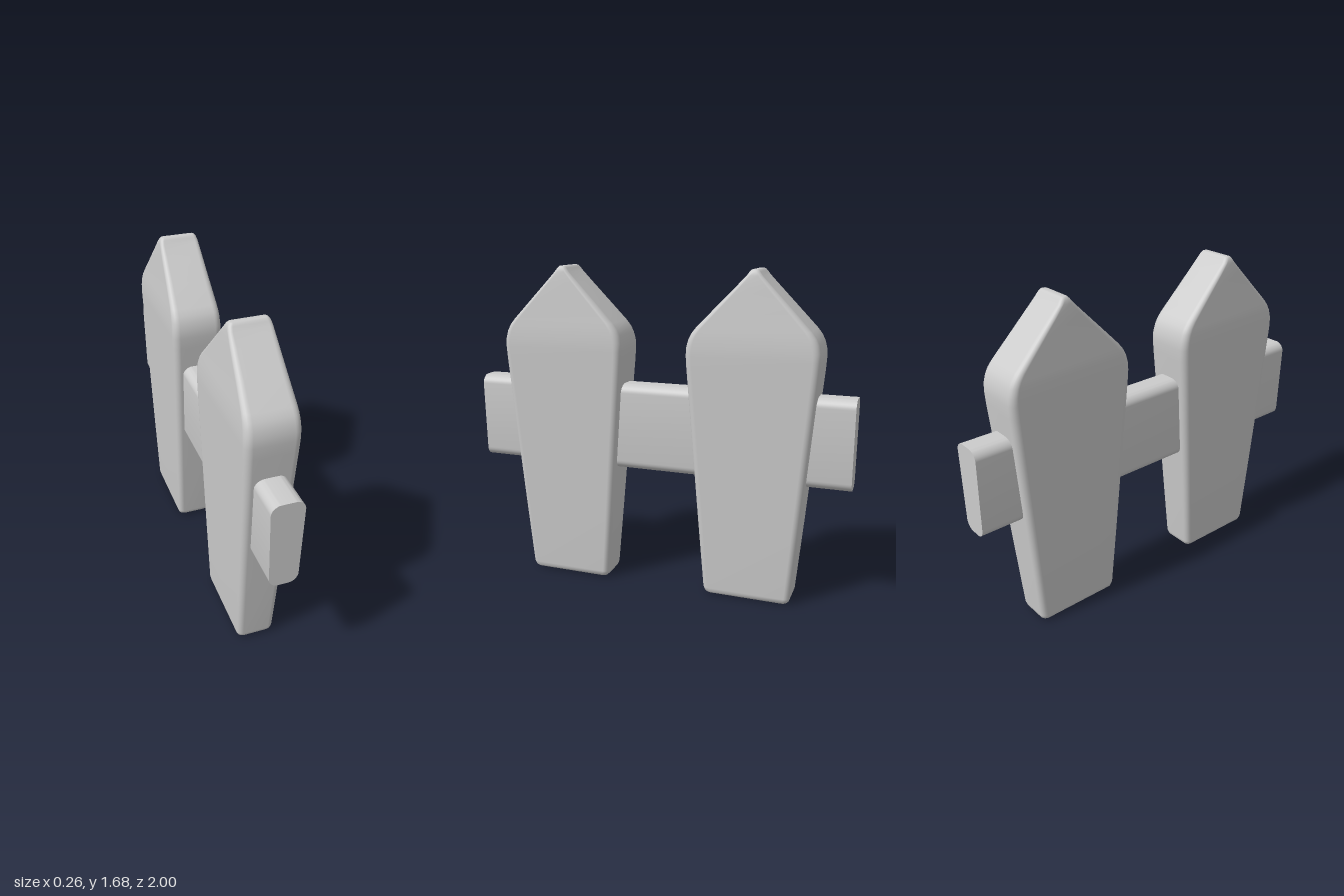
import * as THREE from 'three';
import { toCreasedNormals } from 'three/addons/utils/BufferGeometryUtils.js';

const material = new THREE.MeshStandardMaterial({ color: 0xcccccc });
const CORNER_STEPS = 5;

// Picket sections from foot to tip: [y, half thickness x, half width z, corner radius]
const SECTIONS = [
  [0, 0.068, 0.2, 0.02], [0.004, 0.08, 0.213, 0.025], [0.014, 0.09, 0.223, 0.03], [0.035, 0.095, 0.23, 0.03],
  [0.4, 0.106, 0.261, 0.032], [0.8, 0.117, 0.294, 0.034], [1.2, 0.128, 0.327, 0.036],
  [1.26, 0.13, 0.33, 0.036], [1.3, 0.13, 0.328, 0.036], [1.34, 0.128, 0.318, 0.036],
  [1.37, 0.126, 0.303, 0.035], [1.4, 0.123, 0.28, 0.034], [1.5, 0.114, 0.184, 0.03],
  [1.6, 0.106, 0.087, 0.025], [1.65, 0.101, 0.039, 0.02], [1.668, 0.096, 0.026, 0.018],
  [1.678, 0.088, 0.017, 0.014], [1.68, 0.08, 0.01, 0.008],
];

// Rounded-rectangle loop in the xz plane
function sectionLoop([y, hx, hz, r]) {
  const loop = [];
  for (let q = 0; q < 4; q++) {
    const sx = q === 0 || q === 3 ? 1 : -1;
    const sz = q < 2 ? 1 : -1;
    for (let i = 0; i <= CORNER_STEPS; i++) {
      const a = (q + i / CORNER_STEPS) * Math.PI / 2;
      loop.push([sx * (hx - r) + r * Math.cos(a), y, sz * (hz - r) + r * Math.sin(a)]);
    }
  }
  return loop;
}

// Skin the sections and close both ends
function picketGeometry() {
  const loops = SECTIONS.map(sectionLoop);
  const n = loops[0].length;
  const points = loops.flat();
  const index = [];
  for (let j = 0; j < loops.length - 1; j++) {
    for (let i = 0; i < n; i++) {
      const k = (i + 1) % n;
      const a = j * n + i, b = j * n + k, c = a + n, d = b + n;
      index.push(a, c, b, b, c, d);
    }
  }
  const bottom = points.push([0, 0, 0]) - 1;
  const top = points.push([0, SECTIONS[SECTIONS.length - 1][0], 0]) - 1;
  const last = (loops.length - 1) * n;
  for (let i = 0; i < n; i++) {
    const k = (i + 1) % n;
    index.push(bottom, i, k, top, last + k, last + i);
  }
  const geometry = new THREE.BufferGeometry();
  geometry.setAttribute('position', new THREE.Float32BufferAttribute(points.flat(), 3));
  geometry.setIndex(index);
  geometry.computeVertexNormals();
  return geometry;
}

// Rail: slightly tapered rounded bar running along z
function railGeometry() {
  const top = 1.085, bottom = 0.63, wt = 0.079, wb = 0.069, r = 0.045;
  const shape = new THREE.Shape();
  shape.moveTo(-wb + r, bottom);
  shape.lineTo(wb - r, bottom);
  shape.bezierCurveTo(wb - r * 0.45, bottom, wb, bottom + r * 0.45, wb + 0.001, bottom + r);
  shape.lineTo(wt, top - r);
  shape.bezierCurveTo(wt, top - r * 0.45, wt - r * 0.55, top, wt - r, top);
  shape.lineTo(-wt + r, top);
  shape.bezierCurveTo(-wt + r * 0.55, top, -wt, top - r * 0.45, -wt, top - r);
  shape.lineTo(-wb - 0.001, bottom + r);
  shape.bezierCurveTo(-wb, bottom + r * 0.45, -wb + r * 0.45, bottom, -wb + r, bottom);
  const geometry = new THREE.ExtrudeGeometry(shape, { depth: 2, bevelEnabled: false, curveSegments: 8 });
  geometry.translate(0, 0, -1);
  return toCreasedNormals(geometry, 0.7);
}

export function createModel() {
  const group = new THREE.Group();
  group.name = 'fenceSection';

  // Two pointed pickets
  const geometry = picketGeometry();
  for (const [name, z] of [['frontPicket', 0.5], ['backPicket', -0.5]]) {
    const picket = new THREE.Mesh(geometry, material);
    picket.name = name;
    picket.position.z = z;
    group.add(picket);
  }

  // Cross rail through both pickets
  const rail = new THREE.Mesh(railGeometry(), material);
  rail.name = 'rail';
  group.add(rail);
  return group;
}
